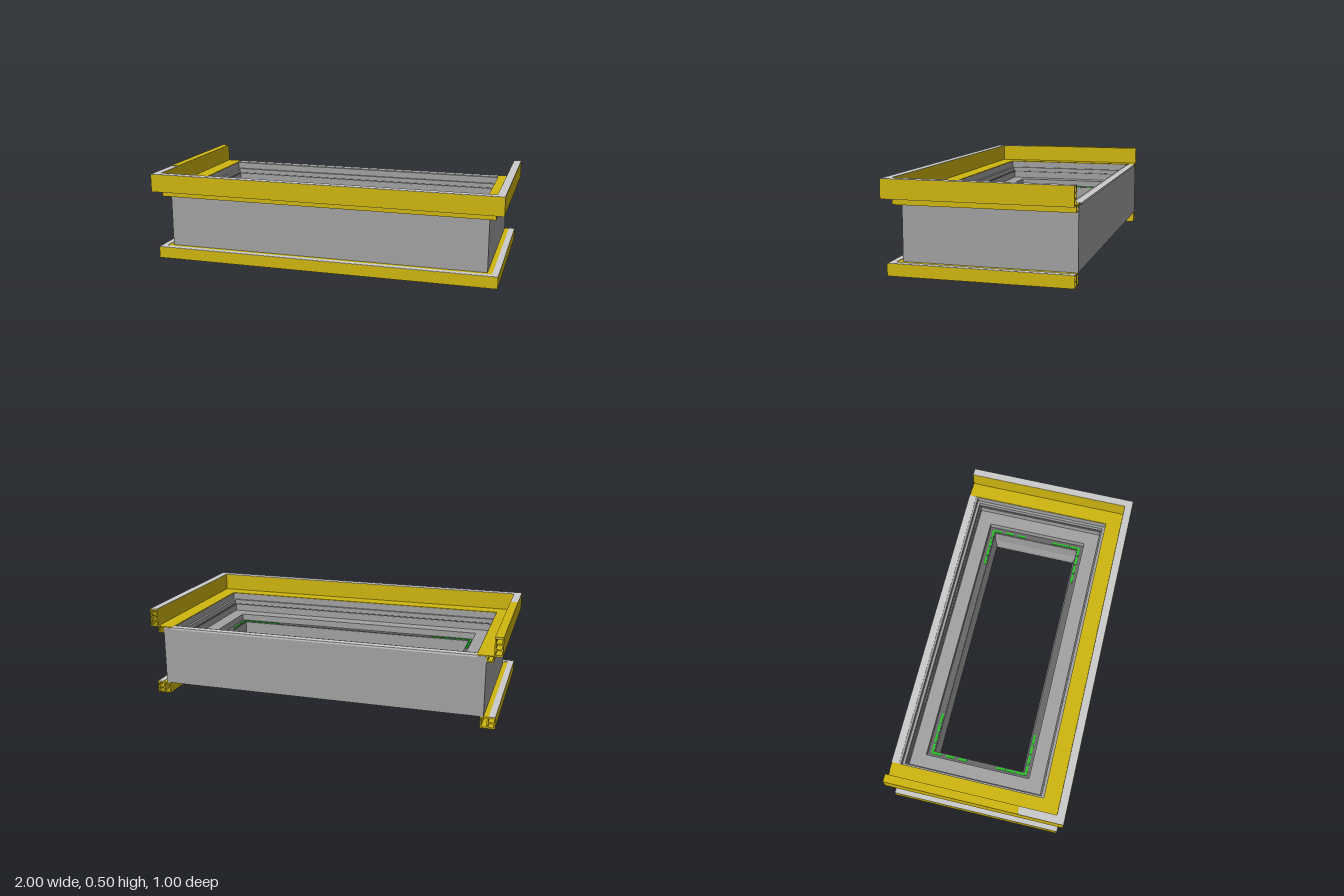
import * as THREE from 'three';

const FRONT = 0.5, BACK = 0.42, END = -0.495;
const mat = (color) => new THREE.MeshStandardMaterial({ color, flatShading: true });

// Sweep profile loops (half width, height; counter-clockwise, holes clockwise)
// round a mitred rectangle, or along a U of three sides with capped back ends.
function sweep(name, material, outline, { holes = [], closed = false } = {}) {
  const pos = [];
  const stations = [
    ([w, y]) => [-w, y, closed ? BACK - w : END],
    ([w, y]) => [-w, y, w - FRONT],
    ([w, y]) => [w, y, w - FRONT],
    ([w, y]) => [w, y, closed ? BACK - w : END],
  ];
  for (const loop of [outline, ...holes]) {
    for (let s = 0; s < (closed ? 4 : 3); s++) {
      const here = stations[s], next = stations[(s + 1) % 4];
      loop.forEach((p, i) => {
        const q = loop[(i + 1) % loop.length];
        const a = here(p), b = next(p), c = next(q), d = here(q);
        pos.push(...a, ...b, ...c, ...a, ...c, ...d);
      });
    }
  }
  if (!closed) {
    const toV = (l) => l.map(([x, y]) => new THREE.Vector2(x, y));
    const all = [outline, ...holes].flat();
    for (const [i, j, k] of THREE.ShapeUtils.triangulateShape(toV(outline), holes.map(toV))) {
      pos.push(...[i, j, k].flatMap((n) => stations[0](all[n])));
      pos.push(...[i, k, j].flatMap((n) => stations[3](all[n])));
    }
  }
  const g = new THREE.BufferGeometry();
  g.setAttribute('position', new THREE.Float32BufferAttribute(pos, 3));
  g.computeVertexNormals();
  const mesh = new THREE.Mesh(g, material);
  mesh.name = name;
  return mesh;
}

const rect = (x0, x1, y0, y1) => [[x0, y0], [x1, y0], [x1, y1], [x0, y1]];
const hole = (...r) => rect(...r).reverse();

function box(name, material, x0, x1, y0, y1, z0, z1) {
  const m = new THREE.Mesh(new THREE.BoxGeometry(x1 - x0, y1 - y0, z1 - z0), material);
  m.position.set((x0 + x1) / 2, (y0 + y1) / 2, (z0 + z1) / 2);
  m.name = name;
  return m;
}

export function createModel() {
  const group = new THREE.Group();
  const light = mat(0xcccccc), grey = mat(0xa2a2a2), dark = mat(0x686868);
  const yellow = mat(0xcfb610), green = mat(0x22c822);

  // Casing with a stepped inside and a chamfered opening
  group.add(sweep('casing', grey, [
    [0.77, 0.065], [0.918, 0.065], [0.918, 0.398], [0.865, 0.398], [0.865, 0.36],
    [0.85, 0.36], [0.85, 0.33], [0.84, 0.33], [0.84, 0.29], [0.76, 0.29], [0.76, 0.248],
    [0.722, 0.248], [0.722, 0.16], [0.711, 0.11], [0.711, 0.085],
  ], { closed: true }));
  group.add(sweep('innerGasket', dark, rect(0.724, 0.759, 0.24, 0.252), { closed: true }));
  group.add(sweep('stepSeal', dark, rect(0.843, 0.849, 0.32, 0.334), { closed: true }));
  group.add(box('backTopStrip', light, -0.868, 0.868, 0.39, 0.401, -0.5, -0.457));

  // Upper moulding: flange lying on the casing and an upright rail
  group.add(sweep('upperFlange', yellow, rect(0.867, 0.955, 0.365, 0.402),
    { holes: [hole(0.924, 0.949, 0.371, 0.396)] }));
  group.add(sweep('upperRail', yellow, rect(0.955, 1, 0.4, 0.5), {
    holes: [0.407, 0.438, 0.469].map((y) => hole(0.962, 0.993, y, y + 0.024)),
  }));
  group.add(sweep('railTopStrip', light, rect(0.956, 0.999, 0.499, 0.502)));
  group.add(sweep('railUnderStrip', light, rect(0.957, 0.998, 0.398, 0.401)));
  group.add(box('railTopCap', yellow, -1, -0.955, 0.5, 0.504, END, 0.25));

  // Base moulding
  group.add(sweep('baseMoulding', yellow, rect(0.9, 0.98, 0, 0.065), {
    holes: [hole(0.907, 0.936, 0.008, 0.057), hole(0.944, 0.973, 0.008, 0.028), hole(0.944, 0.973, 0.036, 0.057)],
  }));
  group.add(sweep('baseTopStrip', light, rect(0.945, 0.979, 0.064, 0.067)));

  // Dashed corner markers on the inner gasket
  const markers = new THREE.Group();
  markers.name = 'cornerMarkers';
  const zf = 0.735 - FRONT, zb = BACK - 0.735, h = 0.006;
  for (const side of [-1, 1]) {
    for (let i = 0; i < 4; i++) {
      const x = side * (0.71 - i * 0.062);
      for (const z of [zf, zb]) markers.add(box('marker', green, x - 0.027, x + 0.027, 0.251, 0.256, z - h, z + h));
    }
    for (let i = 0; i < 3; i++) {
      const x = side * 0.735;
      for (const z of [zf - 0.03 - i * 0.058, zb + 0.03 + i * 0.075]) {
        markers.add(box('marker', green, x - h, x + h, 0.251, 0.256, z - 0.026, z + 0.026));
      }
    }
  }
  group.add(markers);
  return group;
}
